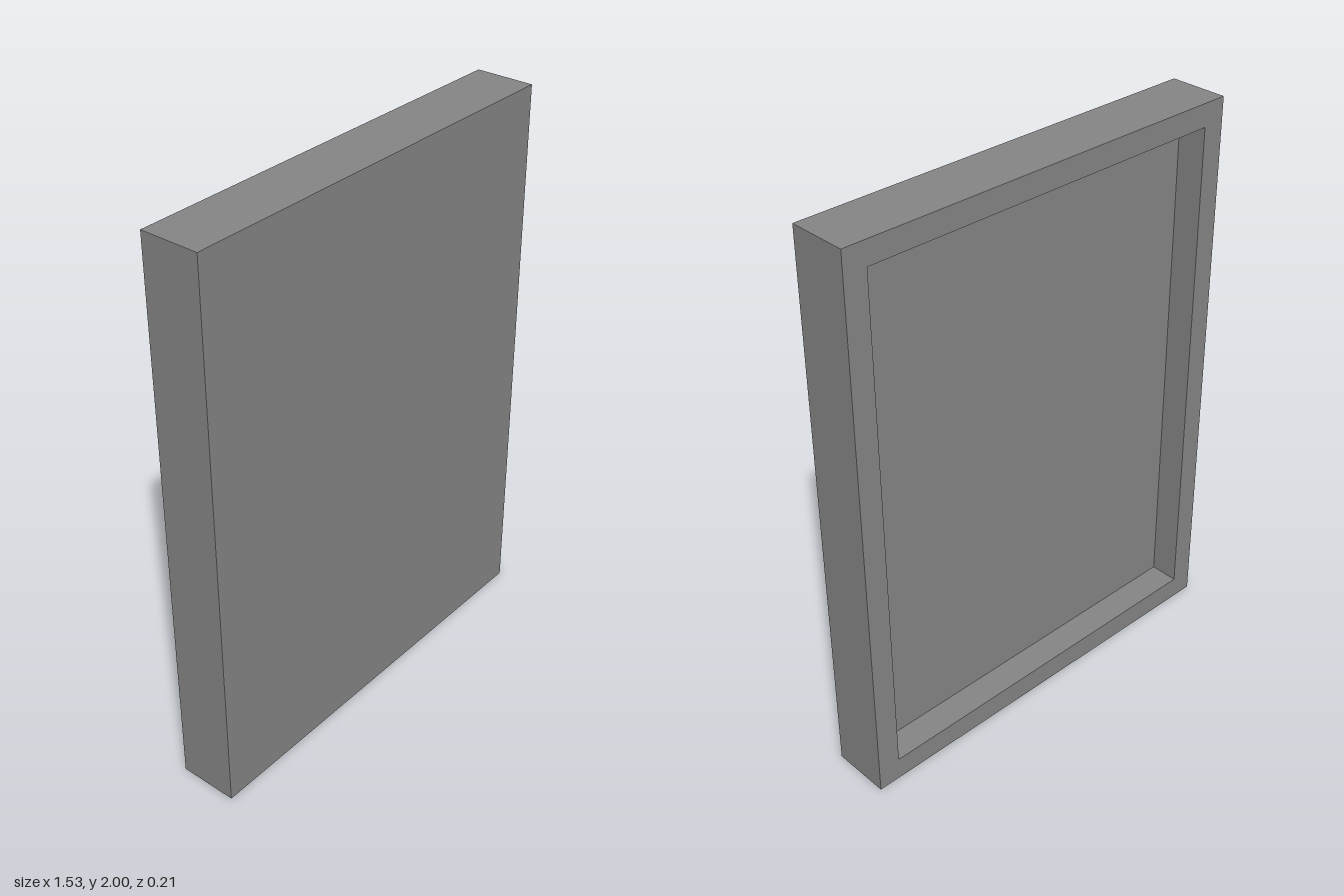
import * as THREE from 'three';

const W = 1.53, H = 2, D = 0.21; // overall size
const RIM = 0.082;               // width of the rim around the back recess
const FLOOR_Z = 0;               // depth at which the recess ends

// Rectangle loop, counter-clockwise seen from the front
function rectLoop(inset, z) {
  const x = W / 2 - inset, lo = inset, hi = H - inset;
  return [[-x, lo, z], [x, lo, z], [x, hi, z], [-x, hi, z]];
}

// One closed skin: front face, outer sides, back rim, recess walls, recess floor
function recessedPanel() {
  const loops = [
    rectLoop(0, D / 2),
    rectLoop(0, -D / 2),
    rectLoop(RIM, -D / 2),
    rectLoop(RIM, FLOOR_Z),
  ];
  const pos = [];
  const quad = (a, b, c, d) => pos.push(...a, ...b, ...c, ...a, ...c, ...d);

  quad(...loops[0]); // front face
  for (let i = 0; i < loops.length - 1; i++) {
    for (let k = 0; k < 4; k++) {
      const n = (k + 1) % 4;
      quad(loops[i][k], loops[i + 1][k], loops[i + 1][n], loops[i][n]);
    }
  }
  quad(...loops[3].slice().reverse()); // recess floor, facing back

  const geo = new THREE.BufferGeometry();
  geo.setAttribute('position', new THREE.Float32BufferAttribute(pos, 3));
  geo.computeVertexNormals();
  return geo;
}

export function createModel() {
  const group = new THREE.Group();
  group.name = 'recessedPanel';
  const material = new THREE.MeshStandardMaterial({ color: 0x868686, flatShading: true });
  const panel = new THREE.Mesh(recessedPanel(), material);
  panel.name = 'framedPanel';
  group.add(panel);
  return group;
}
